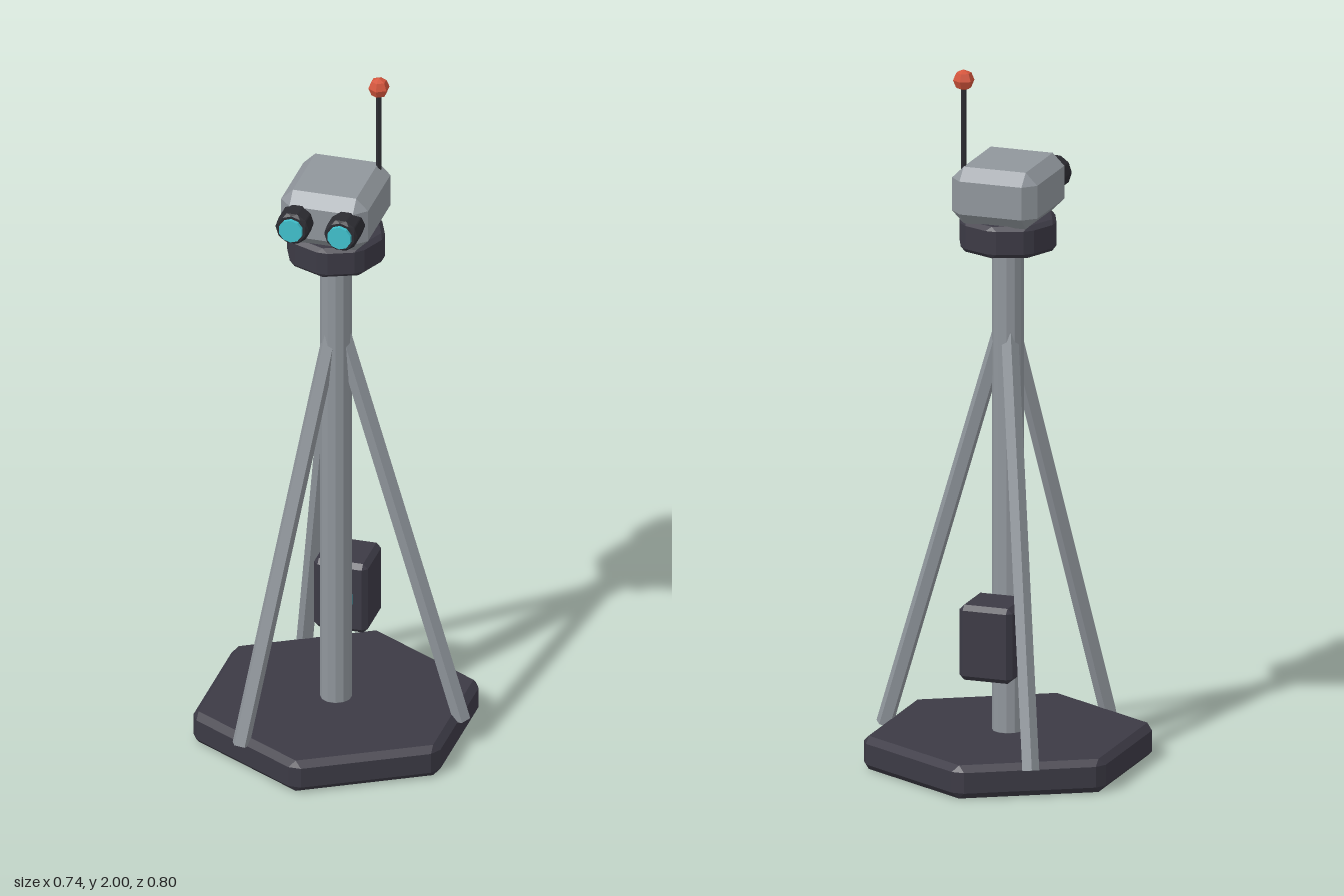
import * as THREE from 'three';
import { ConvexGeometry } from 'three/addons/geometries/ConvexGeometry.js';

const material = (name, color) => {
  const m = new THREE.MeshStandardMaterial({ color, flatShading: true });
  m.name = name;
  return m;
};

// Regular polygon outline in x/z with a corner on +z
const polygon = (n, r) => Array.from({ length: n }, (_, i) => {
  const a = (i / n) * Math.PI * 2;
  return new THREE.Vector2(r * Math.sin(a), r * Math.cos(a));
});

const rectangle = (w, d) => [[1, 1], [1, -1], [-1, -1], [-1, 1]]
  .map(([x, z]) => new THREE.Vector2(x * w / 2, z * d / 2));

// Upright prism with every edge and corner chamfered by b
function chamferedPrism(outline, height, b) {
  const points = [];
  const n = outline.length;
  outline.forEach((p, i) => {
    const prev = outline[(i + n - 1) % n].clone().sub(p).normalize();
    const next = outline[(i + 1) % n].clone().sub(p).normalize();
    const t = b / Math.abs(prev.cross(next));
    const inset = p.clone().addScaledVector(prev, t).addScaledVector(next, t);
    const cuts = [prev, next].map((e) => p.clone().addScaledVector(e, t));
    for (const s of [-1, 1]) {
      points.push(new THREE.Vector3(inset.x, s * height / 2, inset.y));
      for (const c of cuts) points.push(new THREE.Vector3(c.x, s * (height / 2 - b), c.y));
    }
  });
  return new ConvexGeometry(points);
}

export function createModel() {
  const model = new THREE.Group();
  const dark = material('dark casing', 0x3c3a45);
  const black = material('black fittings', 0x2c2c32);
  const grey = material('grey metal', 0x90969c);
  const teal = material('teal glass', 0x40c0cc);
  const red = material('red beacon', 0xd4553c);
  const axis = -0.017;

  const add = (name, geometry, mat, x, y, z, parent = model) => {
    const mesh = new THREE.Mesh(geometry, mat);
    mesh.name = name;
    mesh.position.set(x, y, z);
    parent.add(mesh);
    return mesh;
  };

  // Base, post and collar
  add('base', chamferedPrism(polygon(6, 0.41), 0.095, 0.018), dark, axis, 0.0475, 0);
  add('post', chamferedPrism(polygon(12, 0.046), 1.42, 0.006), grey, axis, 0.8, 0);
  add('collar', chamferedPrism(polygon(8, 0.143), 0.09, 0.012), dark, axis, 1.523, 0);

  // Three five-sided braces leaning on the post
  const topR = 0.015, topY = 1.25, footR = 0.362, footY = 0.077;
  const length = Math.hypot(footR - topR, topY - footY);
  const braceGeometry = new THREE.CylinderGeometry(0.025, 0.025, length, 5);
  for (const degrees of [90, 210, 330]) {
    const brace = new THREE.Group();
    brace.name = 'brace';
    brace.position.x = axis;
    brace.rotation.y = THREE.MathUtils.degToRad(degrees);
    const bar = add('braceBar', braceGeometry, grey, 0, (topY + footY) / 2, (topR + footR) / 2, brace);
    bar.rotation.x = -Math.atan2(footR - topR, topY - footY);
    model.add(brace);
  }

  // Control box behind the post, with a small light on its front
  add('controlBox', chamferedPrism(rectangle(0.155, 0.156), 0.215, 0.014), dark, axis, 0.385, -0.112);
  add('controlLight', new THREE.BoxGeometry(0.075, 0.03, 0.009), teal, axis, 0.385, -0.031);

  // Sensor head
  add('head', chamferedPrism(rectangle(0.25, 0.284), 0.162, 0.034), grey, axis - 0.001, 1.645, -0.001);

  // Pair of lenses
  const barrelGeometry = chamferedPrism(polygon(10, 0.05), 0.1, 0.008).rotateX(Math.PI / 2);
  const glassGeometry = new THREE.CylinderGeometry(0.034, 0.034, 0.03, 10).rotateX(Math.PI / 2);
  for (const side of [-1, 1]) {
    const x = axis + side * 0.07;
    add('lensBarrel', barrelGeometry, black, x, 1.65, 0.146);
    add('lensGlass', glassGeometry, teal, x, 1.65, 0.192);
  }

  // Antenna with a beacon ball
  add('antenna', new THREE.CylinderGeometry(0.008, 0.008, 0.27, 6), black, 0.078, 1.835, -0.095);
  add('beacon', new THREE.SphereGeometry(0.03, 6, 4), red, 0.078, 1.97, -0.095).rotation.y = Math.PI / 6;

  return model;
}
